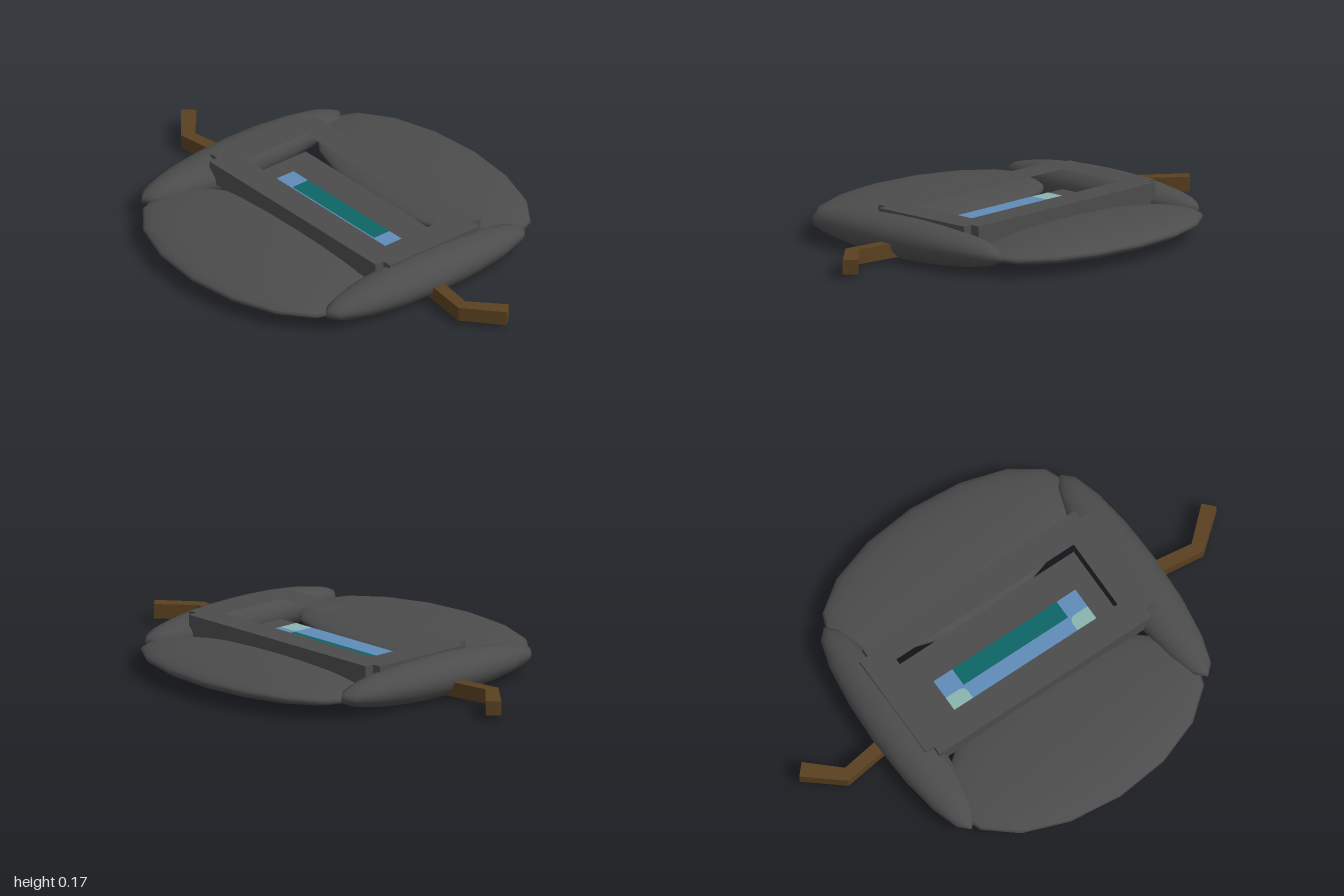
import * as THREE from 'three';

const mat = (name, color) => {
  const m = new THREE.MeshStandardMaterial({ color });
  m.name = name;
  return m;
};

export function createModel() {
  const group = new THREE.Group();
  const grey = mat('dark grey', 0x4c4c4c);
  const brown = mat('brown leather', 0x5a4020);
  const blue = mat('blue glass', 0x5f8cb8);
  const teal = mat('dark teal glass', 0x0e6464);
  const pale = mat('pale teal glass', 0x8ab4ae);

  const add = (name, geometry, material) => {
    const mesh = new THREE.Mesh(geometry, material);
    mesh.name = name;
    group.add(mesh);
    return mesh;
  };
  // Horizontal slab from an [x, z] outline, spanning y0..y1
  const slab = (outline, y0, y1, hole) => {
    const toVec = ([x, z]) => new THREE.Vector2(x, -z);
    const shape = new THREE.Shape(outline.map(toVec));
    if (hole) shape.holes.push(new THREE.Path(hole.map(toVec)));
    return new THREE.ExtrudeGeometry(shape, { depth: y1 - y0, bevelEnabled: false })
      .rotateX(-Math.PI / 2).translate(0, y0, 0);
  };
  const rect = (x0, x1, z0, z1) => [[x0, z0], [x1, z0], [x1, z1], [x0, z1]];

  // Four flattened padded cushions around the frame
  const cushion = (name, pos, size) => {
    const mesh = add(name, new THREE.SphereGeometry(1, 16, 16), grey);
    mesh.position.set(...pos);
    mesh.scale.set(...size);
  };
  cushion('frontCushion', [0, 0.068, 0.41], [0.58, 0.05, 0.32]);
  cushion('backCushion', [0, 0.073, -0.465], [0.58, 0.054, 0.27]);
  cushion('leftCushion', [0.566, 0.082, 0], [0.109, 0.082, 0.515]);
  cushion('rightCushion', [-0.566, 0.082, 0], [0.109, 0.082, 0.515]);

  // Frame with notched corners and a recessed opening
  const opening = rect(-0.425, 0.425, -0.215, 0.09);
  add('frame', slab([
    [-0.51, -0.33], [0.51, -0.33], [0.51, -0.29], [0.55, -0.29],
    [0.55, 0.17], [0.51, 0.17], [0.51, 0.21], [-0.51, 0.21],
    [-0.51, 0.17], [-0.55, 0.17], [-0.55, -0.29], [-0.51, -0.29],
  ], 0.084, 0.172, opening), grey);
  add('recessFloor', slab(opening, 0.084, 0.09), grey);

  // Coloured glass panel, visible from above and below
  const y0 = 0.0825, y1 = 0.0915;
  add('panelDarkBand', slab(rect(-0.25, 0.25, -0.08, 0), y0, y1), teal);
  add('panelFrontBand', slab(rect(-0.25, 0.25, 0, 0.09), y0, y1), blue);
  for (const s of [1, -1]) {
    const side = s > 0 ? 'left' : 'right';
    add(side + 'PanelEnd', slab(rect(s * 0.25, s * 0.34, -0.08, 0.005), y0, y1), blue);
    // Pale corner with a clipped inner edge, and the sliver that fills it
    add(side + 'PanelCorner', slab([
      [s * 0.34, 0.005], [s * 0.275, 0.005], [s * 0.257, 0.012], [s * 0.25, 0.03],
      [s * 0.25, 0.09], [s * 0.34, 0.09],
    ], y0, y1), pale);
    add(side + 'PanelFill', slab([
      [s * 0.25, 0.005], [s * 0.275, 0.005], [s * 0.257, 0.012], [s * 0.25, 0.03],
    ], y0, y1), blue);

    // Bent strap stub
    add(side + 'Strap', slab([
      [s * 0.58, -0.035], [s * 0.83, 0.017], [s * 0.958, -0.1], [s, -0.055],
      [s * 0.85, 0.07], [s * 0.58, 0.04],
    ].map(([x, z], i) => (i === 0 ? [x, -0.02] : i === 5 ? [x, 0.035] : [x, z])), 0.018, 0.077), brown);
  }
  return group;
}
